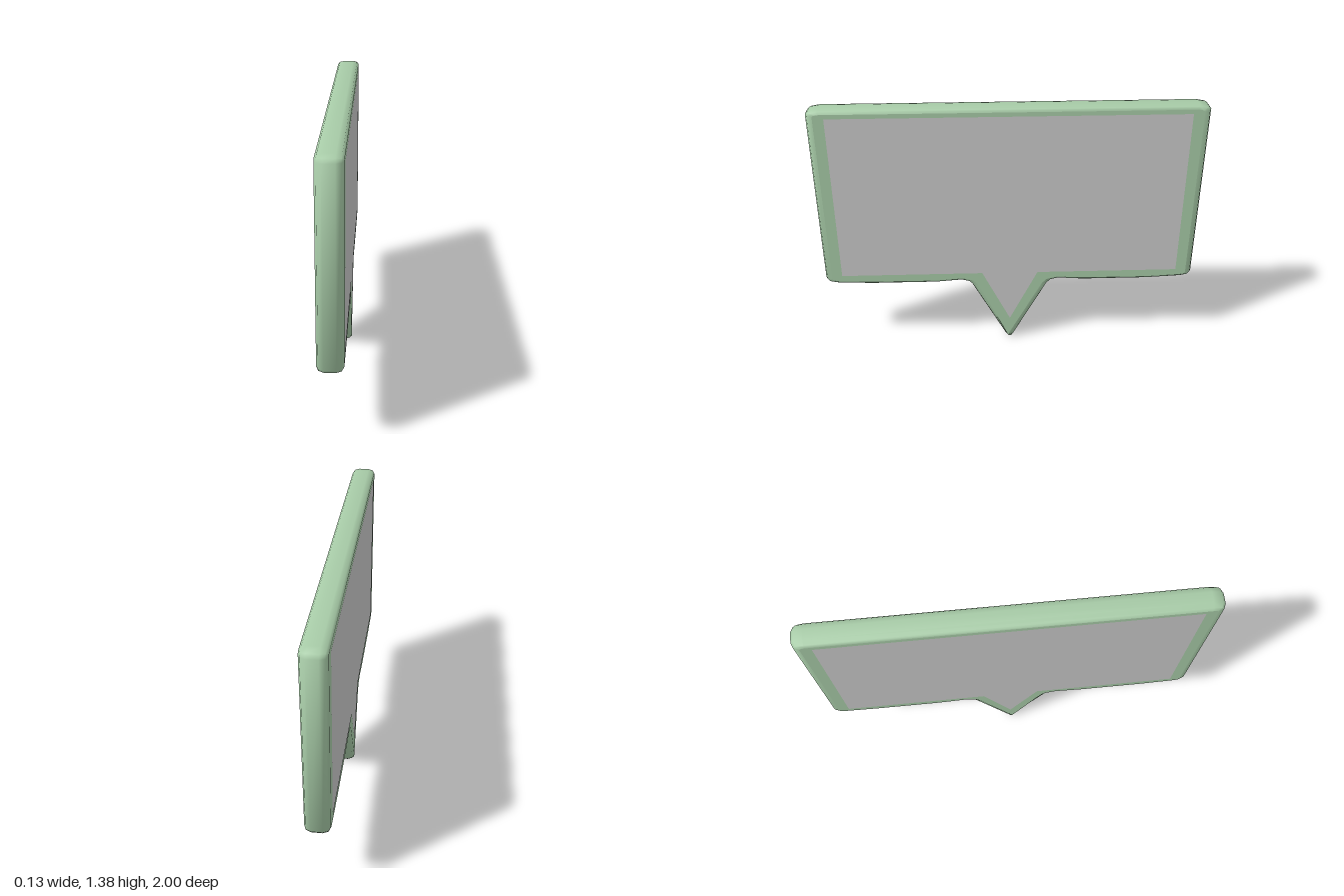
import * as THREE from 'three';
import { toCreasedNormals } from 'three/addons/utils/BufferGeometryUtils.js';

const STRETCH = 2.1; // the rim bevel is wider along z than along y
const HALF = 0.062; // half thickness of the board

// Closed shape from one half of the outline, mirrored about the tail axis
function mirroredShape(half) {
  const other = half.filter(([z]) => z > 0).reverse().map(([z, y]) => [-z, y]);
  return new THREE.Shape([...half, ...other].map(([z, y]) => new THREE.Vector2(z, y)));
}

export function createModel() {
  const model = new THREE.Group();
  model.name = 'speechBubbleSign';

  // Board with rounded rim and pointed tail, from the tip round to the top
  const half = [
    [0.013, 0], [0.025, 0.013], [0.198, 0.335], [0.212, 0.36], [0.23, 0.378], [0.265, 0.387],
    [0.4, 0.377], [0.75, 0.377], [0.94, 0.386], [0.985, 0.396], [1, 0.415],
    [1, 1.36], [0.985, 1.377], [0.94, 1.385],
  ];
  const bevel = 0.035;
  let board = new THREE.ExtrudeGeometry(
    mirroredShape(half.map(([z, y]) => [z / STRETCH, y])),
    {
      depth: 2 * (HALF - bevel), steps: 1, bevelEnabled: true, bevelSegments: 2,
      bevelThickness: bevel, bevelSize: 0.018, bevelOffset: -0.018,
    },
  );
  board.translate(0, 0, bevel - HALF);
  board.rotateY(Math.PI / 2);
  board.scale(1, 1, STRETCH);
  const caps = board.groups[0];
  board = toCreasedNormals(board, 1.0);

  // Keep the two broad faces flat
  const pos = board.attributes.position;
  for (let i = caps.start; i < caps.start + caps.count; i++) {
    board.attributes.normal.setXYZ(i, Math.sign(pos.getX(i)), 0, 0);
  }
  board.clearGroups();
  const boardMesh = new THREE.Mesh(board, new THREE.MeshStandardMaterial({ color: 0xa8cca8 }));
  boardMesh.name = 'board';
  model.add(boardMesh);

  // Flush grey panel on each broad face
  const panelShape = mirroredShape([[0, 0.135], [0.15, 0.438], [0.907, 0.438], [0.907, 1.345]]);
  const grey = new THREE.MeshStandardMaterial({ color: 0xcccccc });
  for (const side of [1, -1]) {
    const panel = new THREE.Mesh(new THREE.ShapeGeometry(panelShape), grey);
    panel.name = side > 0 ? 'leftPanel' : 'rightPanel';
    panel.rotation.y = side * Math.PI / 2;
    panel.position.x = side * (HALF + 0.001);
    model.add(panel);
  }
  return model;
}
